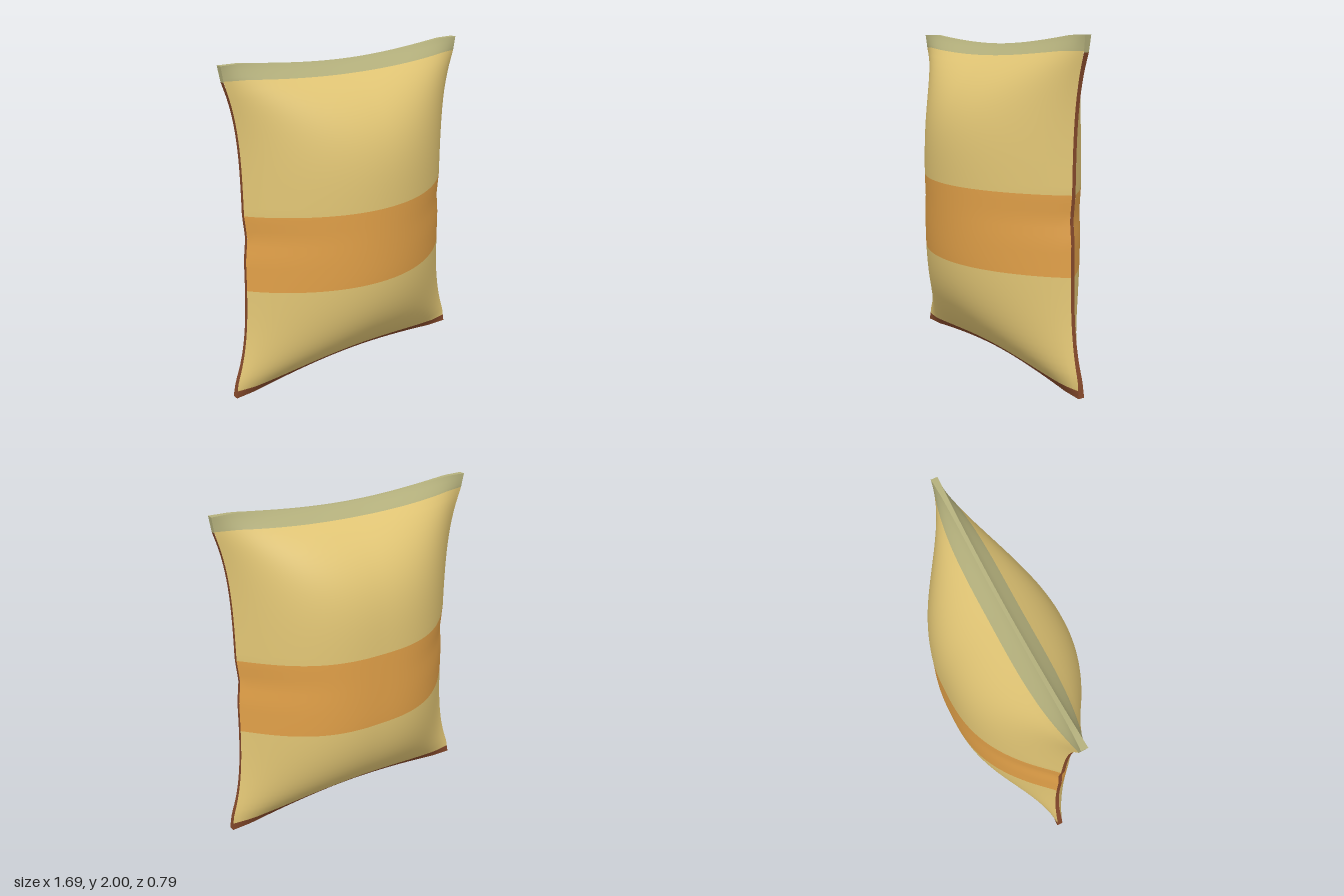
import * as THREE from 'three';

const mat = (name, color) => {
  const m = new THREE.MeshStandardMaterial({ color });
  m.name = name;
  return m;
};

// Horizontal bands from the base up: start, end, rows, material index
const BANDS = [
  [0, 0.045, 3, 0],
  [0.045, 0.677, 14, 1],
  [0.677, 1.14, 10, 2],
  [1.14, 1.917, 16, 1],
  [1.917, 2, 5, 3],
];
const COLS = 48;

// Point on the inflated bag: u across (-1..1), v up (0..2), side +1 front / -1 back
function bagPoint(u, v, side) {
  const t = v - 1, a = Math.abs(t), au = Math.abs(u);
  // waisted outline with nearly straight sealed ends and a small nick at mid height
  const pinch = 0.015 * Math.max(0, 1 - a / 0.14);
  const halfWidth = Math.min(0.744 + 0.13 * a ** 4, 0.83 + 0.16 * (a - 0.9) + 0.1 * Math.max(0, 0.9 - a)) - pinch;
  const lean = 0.005 * (1 - a ** 4);
  const sag = 0.05 * Math.cos(Math.min(1, au / 0.85) * Math.PI / 2) * a ** 4;
  // puffed thickness, squarer towards the ends; the back has fuller shoulders
  const across = side > 0
    ? Math.max(0, 1 - au ** (2 + 3 * a ** 6)) ** 0.92
    : Math.max(0, 1 - au ** (2.55 + 2 * a ** 6)) ** 1.08;
  const along = Math.max(0, 1 - a ** 3.9) ** 1.25;
  const rim = 0.01 + 0.002 * au + 0.008 * (a * au) ** 6;
  return [u * halfWidth + lean, v - Math.sign(t) * sag, side * (rim + 0.383 * across * along)];
}

function makeGeometry(positions, index) {
  const g = new THREE.BufferGeometry();
  g.setAttribute('position', new THREE.Float32BufferAttribute(positions, 3));
  g.setIndex(index);
  g.computeVertexNormals();
  return g;
}

// One smooth puffed face with a material group for each band
function panel(side) {
  const rows = [0], rowMaterial = [];
  for (const [v0, v1, n, m] of BANDS) {
    for (let k = 1; k <= n; k++) {
      rows.push(v0 + (v1 - v0) * k / n);
      rowMaterial.push(m);
    }
  }
  const pos = [], index = [];
  for (const v of rows) {
    for (let i = 0; i <= COLS; i++) pos.push(...bagPoint(-1 + 2 * i / COLS, v, side));
  }
  rowMaterial.forEach((m, j) => {
    for (let i = 0; i < COLS; i++) {
      const a = j * (COLS + 1) + i, b = a + 1, d = a + COLS + 1, c = d + 1;
      index.push(...(side > 0 ? [a, b, c, a, c, d] : [a, c, b, a, d, c]));
    }
  });
  const g = makeGeometry(pos, index);
  rowMaterial.forEach((m, j) => g.addGroup(j * COLS * 6, COLS * 6, m));
  return g;
}

// Thin seam joining front and back along a straight run in (u, v)
function seam(u0, v0, u1, v1, n) {
  const pos = [], index = [];
  for (let i = 0; i <= n; i++) {
    const u = u0 + (u1 - u0) * i / n, v = v0 + (v1 - v0) * i / n;
    pos.push(...bagPoint(u, v, 1), ...bagPoint(u, v, -1));
    if (i < n) {
      const a = 2 * i;
      index.push(a, a + 1, a + 3, a, a + 3, a + 2);
    }
  }
  return makeGeometry(pos, index);
}

export function createModel() {
  const brown = mat('brown seam', 0x85492b);
  const yellow = mat('straw yellow', 0xe2c675);
  const orange = mat('orange band', 0xe1a048);
  const green = mat('grey green', 0xb4b07c);
  const materials = [brown, yellow, orange, green];

  const group = new THREE.Group();
  group.name = 'pillowBag';
  const add = (name, geometry, material) => {
    const mesh = new THREE.Mesh(geometry, material);
    mesh.name = name;
    group.add(mesh);
  };

  add('frontPanel', panel(1), materials);
  add('backPanel', panel(-1), materials);

  // Edge seams, running around the outline
  add('bottomSeam', seam(-1, 0, 1, 0, COLS), brown);
  add('leftSeam', seam(1, 0, 1, 1.91, 48), brown);
  add('leftTopSeam', seam(1, 1.91, 1, 2, 5), green);
  add('topSeam', seam(1, 2, -1, 2, COLS), green);
  add('rightTopSeam', seam(-1, 2, -1, 1.91, 5), green);
  add('rightSeam', seam(-1, 1.91, -1, 0, 48), brown);
  return group;
}
